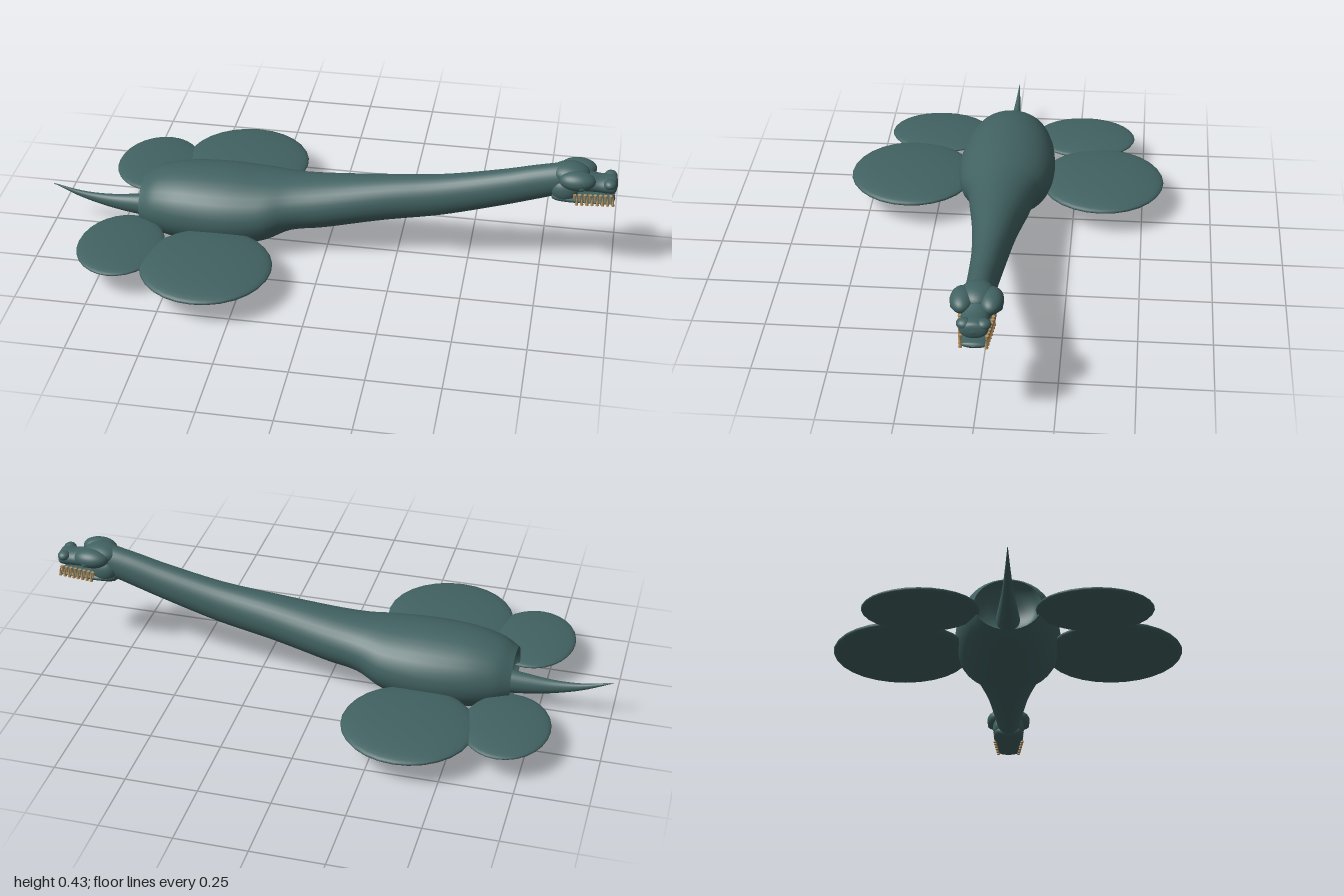
import * as THREE from 'three';

const skin = new THREE.MeshStandardMaterial({ color: 0x426262, side: THREE.DoubleSide });
skin.name = 'tealSkin';
const ivory = new THREE.MeshStandardMaterial({ color: 0xb8925f });
ivory.name = 'toothIvory';

// Smooth skin through elliptical sections [x, centreY, radiusY, radiusZ]
function loft(name, sections, rings = 40, sides = 32) {
  const centre = new THREE.CatmullRomCurve3(sections.map(s => new THREE.Vector3(s[0], s[1], 0)));
  const radius = new THREE.CatmullRomCurve3(sections.map(s => new THREE.Vector3(s[0], s[2], s[3])));
  // both curves share x, so sample them with the same parameter
  centre.curveType = radius.curveType = 'catmullrom';
  const pos = [], index = [];
  for (let i = 0; i <= rings; i++) {
    const c = centre.getPoint(i / rings), r = radius.getPoint(i / rings);
    for (let j = 0; j < sides; j++) {
      const a = (j / sides) * Math.PI * 2;
      pos.push(c.x, c.y + Math.cos(a) * Math.max(r.y, 0), Math.sin(a) * Math.max(r.z, 0));
      if (i < rings) {
        const p = i * sides + j, q = i * sides + (j + 1) % sides;
        index.push(p, q, p + sides, q, q + sides, p + sides);
      }
    }
  }
  const g = new THREE.BufferGeometry();
  g.setAttribute('position', new THREE.Float32BufferAttribute(pos, 3));
  g.setIndex(index);
  g.computeVertexNormals();
  const m = new THREE.Mesh(g, skin);
  m.name = name;
  return m;
}

function ellipsoid(name, [x, y, z], [rx, ry, rz]) {
  const m = new THREE.Mesh(new THREE.SphereGeometry(1, 28, 18), skin);
  m.position.set(x, y, z);
  m.scale.set(rx, ry, rz);
  m.name = name;
  return m;
}

export function createModel() {
  const model = new THREE.Group();
  model.name = 'longNeckedSwimmer';

  // Barrel body flowing into the long rising neck
  model.add(loft('bodyAndNeck', [
    [-0.66, 0.134, 0.088, 0.108], [-0.6, 0.14, 0.114, 0.138], [-0.5, 0.142, 0.132, 0.164],
    [-0.36, 0.143, 0.137, 0.175], [-0.22, 0.155, 0.121, 0.16], [-0.12, 0.178, 0.097, 0.125],
    [0, 0.192, 0.092, 0.105], [0.2, 0.226, 0.082, 0.078], [0.4, 0.258, 0.075, 0.061],
    [0.6, 0.308, 0.067, 0.052], [0.72, 0.343, 0.063, 0.048], [0.82, 0.37, 0.056, 0.046],
    [0.87, 0.37, 0.045, 0.04],
  ], 72));

  // Recessed rear wall around the tail
  model.add(loft('rearRecess', [[-0.66, 0.134, 0.088, 0.108], [-0.63, 0.125, 0.07, 0.08], [-0.6, 0.11, 0, 0]], 8));

  // Upswept pointed tail
  model.add(loft('tail', [
    [-1, 0.154, 0.001, 0.001], [-0.9, 0.121, 0.012, 0.01], [-0.8, 0.104, 0.024, 0.019],
    [-0.7, 0.1, 0.037, 0.03], [-0.6, 0.102, 0.047, 0.04], [-0.56, 0.102, 0.05, 0.042],
  ], 24));

  // Snout with rounded tip, and lower jaw
  model.add(loft('snout', [
    [0.82, 0.372, 0.045, 0.05], [0.88, 0.37, 0.036, 0.048], [0.93, 0.364, 0.029, 0.043],
    [0.97, 0.364, 0.03, 0.046], [0.99, 0.363, 0.024, 0.038], [0.997, 0.362, 0, 0],
  ], 24));
  model.add(loft('lowerJaw', [
    [0.778, 0.318, 0, 0], [0.782, 0.317, 0.021, 0.045], [0.84, 0.315, 0.02, 0.058],
    [0.9, 0.309, 0.013, 0.048], [0.97, 0.307, 0.011, 0.042], [0.985, 0.307, 0.009, 0.034], [0.992, 0.307, 0, 0],
  ], 24));
  model.add(ellipsoid('crown', [0.835, 0.395, 0], [0.065, 0.035, 0.055]));

  for (const s of [-1, 1]) {
    const side = s > 0 ? 'right' : 'left';
    // Round flat paddles
    model.add(ellipsoid(side + 'FrontFlipper', [-0.362, 0.106, s * 0.35], [0.227, 0.028, 0.225]));
    model.add(ellipsoid(side + 'RearFlipper', [-0.68, 0.106, s * 0.275], [0.15, 0.02, 0.188]));

    // Brow, eye, cheek and nostril swellings
    model.add(ellipsoid(side + 'Brow', [0.86, 0.39, s * 0.045], [0.062, 0.033, 0.039]));
    model.add(ellipsoid(side + 'Eye', [0.875, 0.378, s * 0.064], [0.018, 0.014, 0.018]));
    model.add(ellipsoid(side + 'Cheek', [0.82, 0.342, s * 0.035], [0.045, 0.04, 0.026]));
    model.add(ellipsoid(side + 'Nostril', [0.97, 0.378, s * 0.03], [0.022, 0.017, 0.024]));

    // Interlocking tooth rows
    const teeth = new THREE.Group();
    teeth.name = side + 'Teeth';
    for (let i = 0; i < 16; i++) {
      const t = i / 15, upper = i % 2 === 0;
      const tooth = new THREE.Mesh(new THREE.ConeGeometry(0.0065, 0.036, 6), ivory);
      tooth.name = upper ? 'upperTooth' : 'lowerTooth';
      tooth.position.set(0.855 + 0.13 * t, upper ? 0.322 : 0.318, s * (0.054 - 0.014 * t));
      if (upper) tooth.rotation.x = Math.PI;
      teeth.add(tooth);
    }
    model.add(teeth);
  }
  return model;
}
